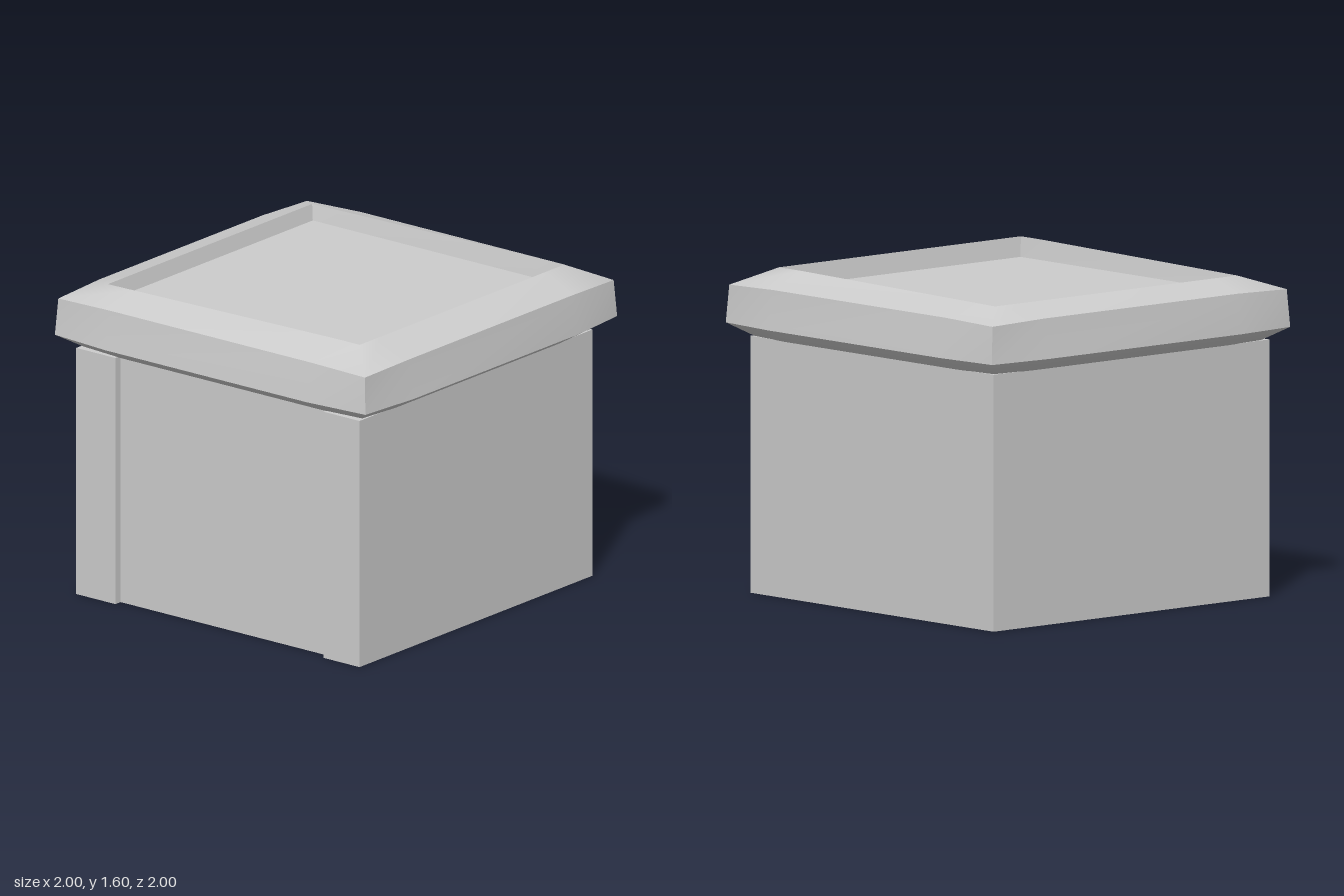
import * as THREE from 'three';
import { toCreasedNormals } from 'three/addons/utils/BufferGeometryUtils.js';

const material = new THREE.MeshStandardMaterial({ color: 0xcccccc });
const KINK = 0.63; // where the bowed sides start to turn in

// Square ring of 12 points with bowed sides; height may vary with z
function ring(corner, middle, yCorner, yMiddle = yCorner, tilt = () => 0) {
  const points = [];
  for (let side = 0; side < 4; side++) {
    const a = side * Math.PI / 2;
    const c = Math.round(Math.cos(a)), s = Math.round(Math.sin(a));
    for (const [u, v, y] of [[corner, corner, yCorner], [middle, KINK, yMiddle], [middle, -KINK, yMiddle]]) {
      const x = u * c + v * s, z = v * c - u * s;
      points.push(new THREE.Vector3(x, y + tilt(z), z));
    }
  }
  return points;
}

// Skin neighbouring rings and cap both ends
function loft(rings) {
  const n = rings[0].length, index = [];
  rings.slice(1).forEach((_, r) => {
    for (let j = 0; j < n; j++) {
      const a = r * n + j, b = r * n + (j + 1) % n;
      index.push(a, b, b + n, a, b + n, a + n);
    }
  });
  const top = (rings.length - 1) * n;
  for (let j = 1; j < n - 1; j++) {
    index.push(0, j + 1, j);
    index.push(top, top + j, top + j + 1);
  }
  const geometry = new THREE.BufferGeometry().setFromPoints(rings.flat());
  geometry.setIndex(index);
  return toCreasedNormals(geometry, THREE.MathUtils.degToRad(38));
}

function addPart(group, name, geometry) {
  const mesh = new THREE.Mesh(geometry, material);
  mesh.name = name;
  group.add(mesh);
}

export function createModel() {
  const group = new THREE.Group();
  group.name = 'liddedBox';

  // Body: square footprint with a shallow full-height recess in the -x side
  const footprint = new THREE.Shape([
    [-0.91, -0.885], [0.885, -0.885], [0.885, 0.885], [-0.91, 0.885],
    [-0.91, 0.64], [-0.87, 0.64], [-0.87, -0.66], [-0.91, -0.66],
  ].map(([x, y]) => new THREE.Vector2(x, y)));
  const body = new THREE.ExtrudeGeometry(footprint, { depth: 1.26, bevelEnabled: false });
  body.rotateX(-Math.PI / 2);
  addPart(group, 'body', body);

  // Lid: flared underside, bowed band, sloping rim and sunken panel
  const rimTilt = z => -0.022 * THREE.MathUtils.clamp((KINK - z) / 1.41, 0, 1);
  addPart(group, 'lid', loft([
    ring(0.868, 0.89, 1.258),
    ring(0.97, 1.0, 1.325),
    ring(0.958, 0.968, 1.51, 1.52),
    ring(0.787, 0.787, 1.597, 1.597, rimTilt),
    ring(0.767, 0.767, 1.5),
  ]));

  return group;
}
